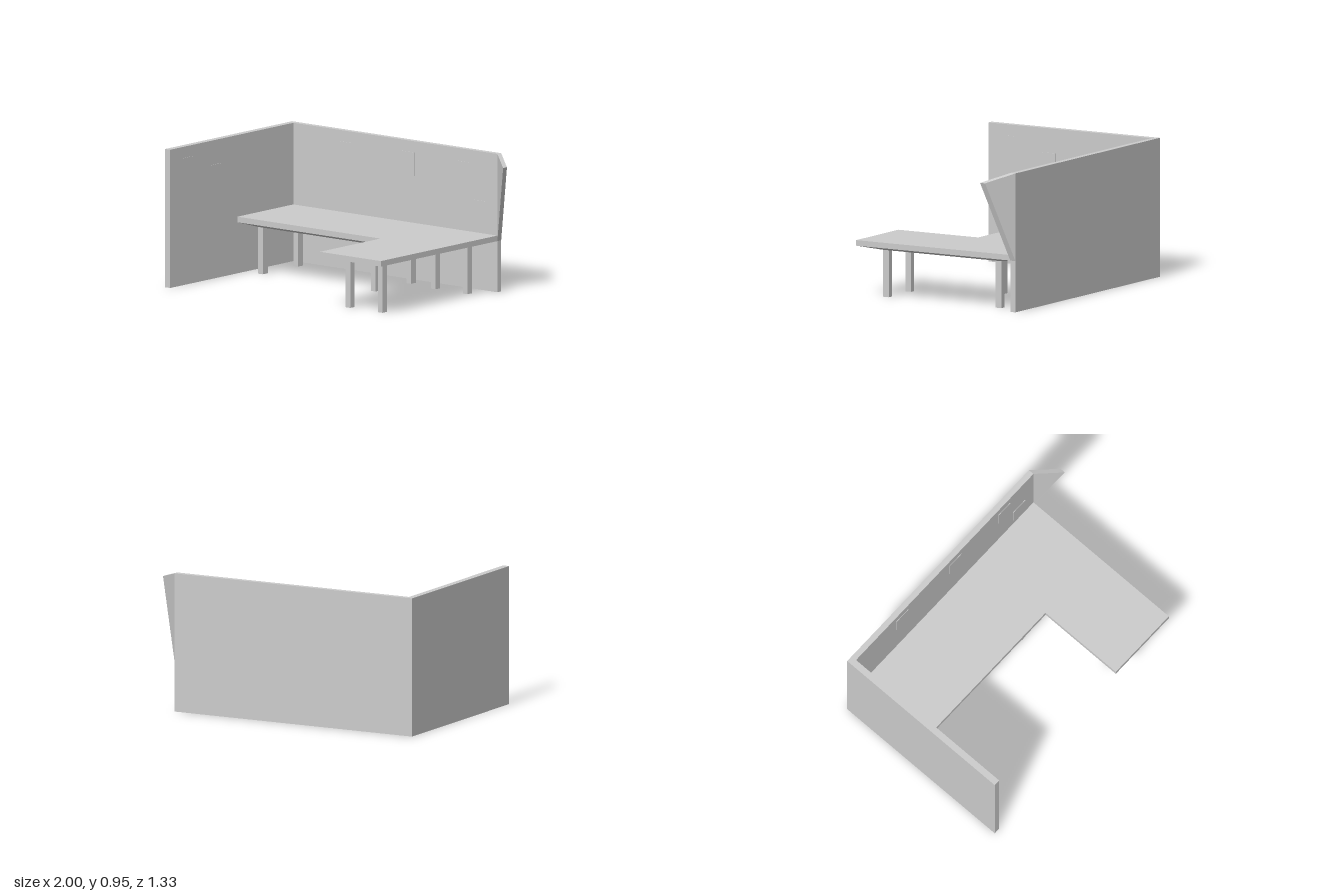
import * as THREE from 'three';

const material = new THREE.MeshStandardMaterial({ color: 0xcccccc, flatShading: true });

export function createModel() {
  const model = new THREE.Group();

  const add = (name, geometry, parent = model) => {
    const mesh = new THREE.Mesh(geometry, material);
    mesh.name = name;
    parent.add(mesh);
    return mesh;
  };

  // Box given by its limits on each axis
  const block = (x0, x1, y0, y1, z0, z1) =>
    new THREE.BoxGeometry(x1 - x0, y1 - y0, z1 - z0)
      .translate((x0 + x1) / 2, (y0 + y1) / 2, (z0 + z1) / 2);

  // Floor-plan outline of [x, z] points raised from y0 to y1
  const raisePlan = (points, y0, y1) => {
    const shape = new THREE.Shape(points.map(([x, z]) => new THREE.Vector2(x, -z)));
    return new THREE.ExtrudeGeometry(shape, { depth: y1 - y0, bevelEnabled: false })
      .rotateX(-Math.PI / 2)
      .translate(0, y0, 0);
  };

  // Partition: side wall and back wall in one L
  add('partitionWalls', raisePlan([
    [-1, -0.667], [0.835, -0.667], [0.835, -0.627],
    [-0.955, -0.627], [-0.955, 0.667], [-1, 0.667],
  ], 0, 0.947));

  // Triangular wing, sheared forward as it leaves the back wall
  const wingShape = new THREE.Shape([[0.835, 0.35], [1, 0.89], [0.835, 0.947]]
    .map(([x, y]) => new THREE.Vector2(x, y)));
  const wing = new THREE.ExtrudeGeometry(wingShape, { depth: 0.04, bevelEnabled: false });
  const wp = wing.attributes.position;
  for (let i = 0; i < wp.count; i++) {
    wp.setZ(i, wp.getZ(i) - 0.667 + (wp.getX(i) - 0.835) * 0.83);
  }
  wing.computeVertexNormals();
  add('wallWing', wing);

  // L-shaped desktop
  add('desktop', raisePlan([
    [-0.955, -0.627], [0.835, -0.627], [0.835, 0.597],
    [0.3, 0.597], [0.3, -0.038], [-0.955, -0.038],
  ], 0.35, 0.388));

  // Each desk section: tapered underside and four corner legs
  const sections = [
    { name: 'mainDesk', top: [-0.955, 0.3, -0.627, -0.038], bottom: [-0.84, 0.19, -0.545, -0.12], leg: [0.04, 0.055] },
    { name: 'returnDesk', top: [0.3, 0.835, -0.627, 0.597], bottom: [0.405, 0.727, -0.489, 0.451], leg: [0.04, 0.046] },
  ];
  for (const { name, top, bottom, leg } of sections) {
    const group = new THREE.Group();
    group.name = name + 'Support';
    model.add(group);

    const [x0, x1, z0, z1] = bottom;
    const taper = block(top[0], top[1], 0.32, 0.35, top[2], top[3]);
    const p = taper.attributes.position;
    for (let i = 0; i < p.count; i++) {
      if (p.getY(i) > 0.335) continue;
      p.setX(i, p.getX(i) < (x0 + x1) / 2 ? x0 : x1);
      p.setZ(i, p.getZ(i) < (z0 + z1) / 2 ? z0 : z1);
    }
    taper.computeVertexNormals();
    add('taperedUnderside', taper, group);

    const [w, d] = leg;
    for (const x of [x0, x1 - w]) {
      for (const z of [z0, z1 - d]) add('leg', block(x, x + w, 0, 0.32, z, z + d), group);
    }
  }

  // Thin sheets pinned to the back wall: [x, bottom y]
  for (const [x, y] of [[-0.55, 0.71], [-0.01, 0.71], [0.48, 0.7], [0.63, 0.45]]) {
    add('backWallSheet', block(x, x + 0.12, y, y + 0.16, -0.63, -0.624));
  }
  // Thin sheets pinned to the side wall: [z, bottom y]
  for (const [z, y] of [[0.13, 0.62], [0.43, 0.71]]) {
    add('sideWallSheet', block(-0.958, -0.952, y, y + 0.16, z, z + 0.11));
  }

  return model;
}
